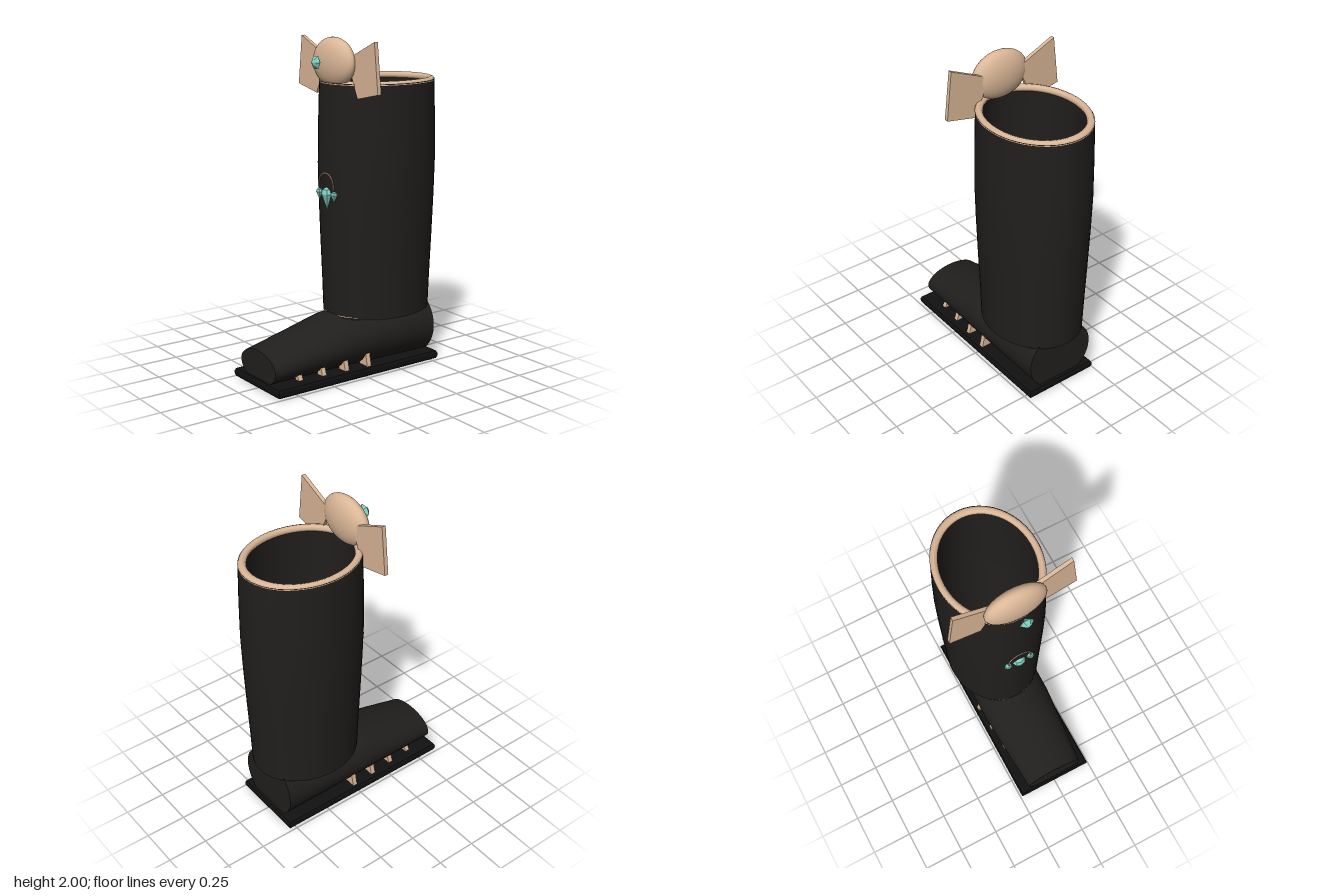
import * as THREE from 'three';

const mat = (color, extra = {}) => new THREE.MeshStandardMaterial({ color, ...extra });
const leather = mat(0x211f1d, { side: THREE.DoubleSide });
const soleMat = mat(0x121112);
const tan = mat(0xdbb797, { side: THREE.DoubleSide });
const teal = mat(0x7fcfc2, { flatShading: true });

const SHAFT_Z = -0.245, STRETCH = 1.2;
const v2 = (list) => list.map(([x, y]) => new THREE.Vector2(x, y));

function add(parent, name, geometry, material, x = 0, y = 0, z = 0) {
  const mesh = new THREE.Mesh(geometry, material);
  mesh.name = name;
  mesh.position.set(x, y, z);
  parent.add(mesh);
  return mesh;
}

// Foot ellipses along z: [z, centre height, half width, half height]
const FOOT = [[-0.525, 0.215, 0.225, 0.21], [0.11, 0.195, 0.222, 0.163], [0.615, 0.13, 0.185, 0.098]];
function footSection(z) {
  const i = z < FOOT[1][0] ? 0 : 1;
  const a = FOOT[i], b = FOOT[i + 1];
  const t = (z - a[0]) / (b[0] - a[0]);
  return a.map((value, k) => value + (b[k] - value) * t);
}

function footGeometry() {
  const g = new THREE.CylinderGeometry(1, 1, 1.14, 40, 18).rotateX(Math.PI / 2).translate(0, 0, 0.045);
  const p = g.attributes.position;
  for (let i = 0; i < p.count; i++) {
    const [, cy, rx, ry] = footSection(p.getZ(i));
    p.setXY(i, p.getX(i) * rx, cy + p.getY(i) * ry);
  }
  g.computeVertexNormals();
  return g;
}

// Oval ring lying flat, matching the shaft outline
function rim(radius, tube) {
  return new THREE.TorusGeometry(radius, tube, 8, 48).rotateX(Math.PI / 2).scale(1, 1, STRETCH);
}

// Faceted drop with a domed top and a pointed bottom
function drop(r, up, down) {
  const pts = v2([[0, -down], [r, 0], [r * 0.75, up * 0.65], [0, up]]);
  return new THREE.LatheGeometry(pts, 8).scale(1, 1, 0.75);
}

export function createModel() {
  const boot = new THREE.Group();
  boot.name = 'boot';

  // Sole with bevelled edges
  const outline = new THREE.Shape(v2([[-0.218, -0.608], [0.218, -0.608], [0.218, 0.523], [-0.218, 0.523]]));
  const sole = new THREE.ExtrudeGeometry(outline, {
    depth: 0.02, bevelThickness: 0.02, bevelSize: 0.022, bevelSegments: 2,
  }).rotateX(-Math.PI / 2);
  add(boot, 'sole', sole, soleMat, 0, 0.02, 0);

  add(boot, 'foot', footGeometry(), leather);

  // Side straps, shorter towards the toe
  [[-0.025, 0.135], [0.13, 0.12], [0.285, 0.105], [0.44, 0.09]].forEach(([z, top]) => {
    const [, cy, rx, ry] = footSection(z);
    const xTop = rx * Math.sqrt(1 - ((top - cy) / ry) ** 2);
    for (const s of [-1, 1]) {
      const shape = new THREE.Shape(v2([[s * 0.15, 0.05], [s * (xTop + 0.018), 0.05], [s * xTop, top], [s * 0.14, top]]));
      add(boot, 'sideStrap', new THREE.ExtrudeGeometry(shape, { depth: 0.03, bevelEnabled: false }), tan, 0, 0, z - 0.015);
    }
  });

  // Hollow shaft: outer wall up, then inner wall down
  const outer = [[0.284, 0.345], [0.29, 0.55], [0.299, 0.8], [0.307, 1.05], [0.311, 1.25], [0.308, 1.5], [0.302, 1.742]];
  const inner = outer.map(([r, y]) => [r - 0.035, y]).reverse();
  const wall = (pts) => new THREE.LatheGeometry(v2(pts), 48).scale(1, 1, STRETCH);
  add(boot, 'shaftOuter', wall(outer), leather, 0, 0, SHAFT_Z);
  add(boot, 'shaftLining', wall(inner), leather, 0, 0, SHAFT_Z);
  add(boot, 'topRim', rim(0.282, 0.021), tan, 0, 1.735, SHAFT_Z);
  add(boot, 'bottomRim', rim(0.263, 0.019), tan, 0, 0.354, SHAFT_Z + 0.004);

  // Bow: oval knot and two flat wings
  const bow = new THREE.Group();
  bow.name = 'bow';
  boot.add(bow);
  add(bow, 'knot', new THREE.SphereGeometry(1, 32, 20).scale(0.186, 0.145, 0.07), tan, 0, 1.855, 0.07);
  for (const s of [-1, 1]) {
    const shape = new THREE.Shape(v2([[0.1, 1.878], [0.2, 1.66], [0.387, 1.7], [0.353, 1.99]].map(([x, y]) => [s * x, y])));
    add(bow, 'wing', new THREE.ExtrudeGeometry(shape, { depth: 0.024, bevelEnabled: false }), tan, 0, 0, 0.028);
  }
  const gem = new THREE.LatheGeometry(v2([[0, -0.03], [0.042, 0], [0.022, 0.018], [0, 0.028]]), 6)
    .rotateX(Math.PI / 2).rotateZ(Math.PI / 6);
  add(bow, 'gem', gem, teal, 0, 1.86, 0.196);

  // Charm: wire arc with three drops
  const charm = new THREE.Group();
  charm.name = 'charm';
  boot.add(charm);
  const arc = new THREE.TorusGeometry(0.073, 0.004, 6, 32, Math.PI * 1.2).rotateZ(-Math.PI * 0.1);
  add(charm, 'wireArc', arc, tan, 0, 1.14, 0.13);
  add(charm, 'largeDrop', drop(0.042, 0.042, 0.095), teal, 0, 1.09, 0.121);
  for (const s of [-1, 1]) add(charm, 'smallDrop', drop(0.024, 0.022, 0.048), teal, s * 0.073, 1.093, 0.124);

  return boot;
}
